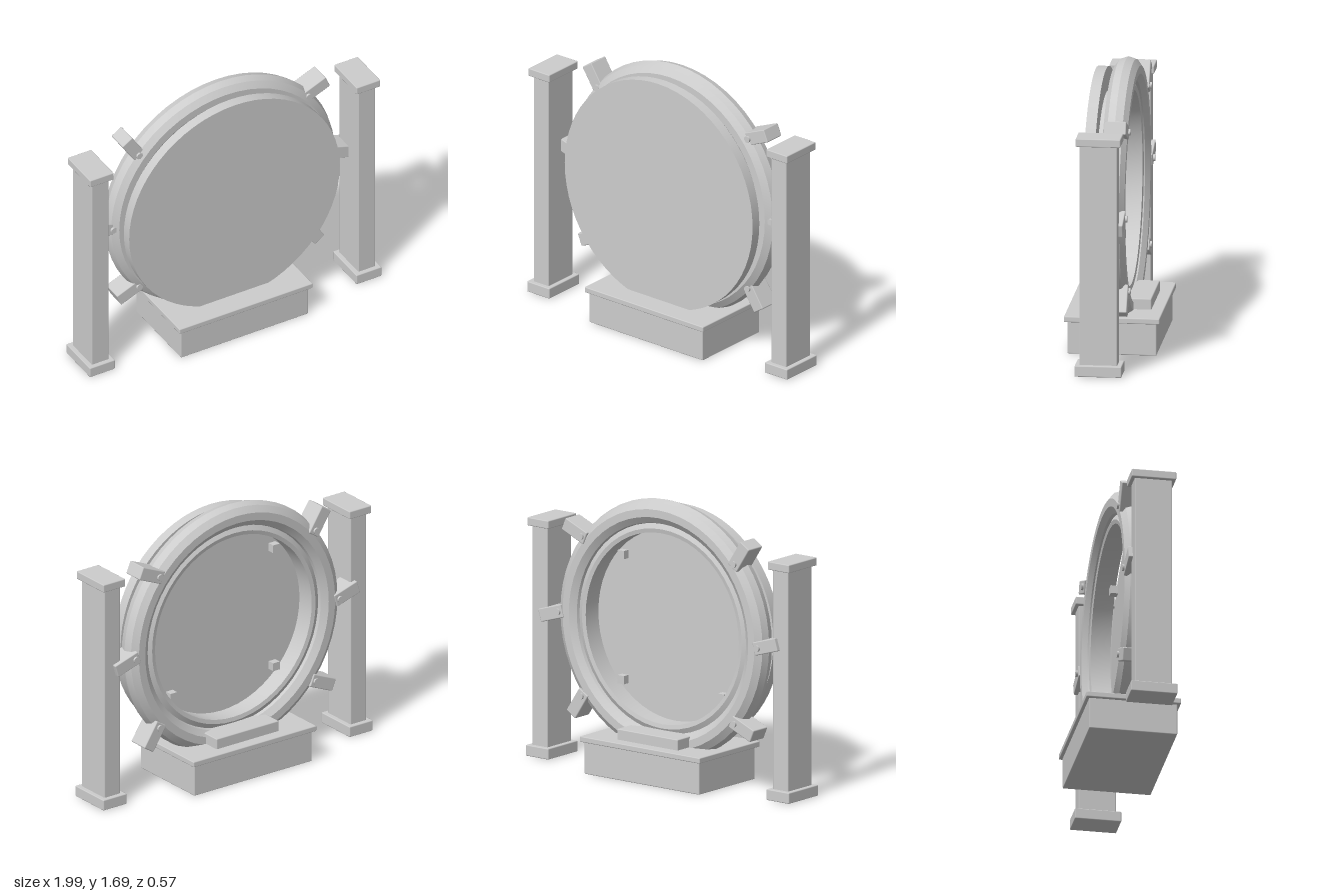
import * as THREE from 'three';
import { toCreasedNormals } from 'three/addons/utils/BufferGeometryUtils.js';
import { RoundedBoxGeometry } from 'three/addons/geometries/RoundedBoxGeometry.js';

const CENTRE_Y = 0.91; // height of the ring's axis

export function createModel() {
  const model = new THREE.Group();
  model.name = 'ringGateway';
  const stone = new THREE.MeshStandardMaterial({ color: 0xcccccc });
  stone.name = 'pale grey';

  const add = (parent, name, geometry, x = 0, y = 0, z = 0) => {
    const mesh = new THREE.Mesh(geometry, stone);
    mesh.name = name;
    mesh.position.set(x, y, z);
    parent.add(mesh);
    return mesh;
  };

  // Box given by its limits on each axis, with slightly eased edges
  const block = (parent, name, [x0, x1], [y0, y1], [z0, z1]) =>
    add(parent, name, new RoundedBoxGeometry(x1 - x0, y1 - y0, z1 - z0, 1, 0.006),
      (x0 + x1) / 2, (y0 + y1) / 2, (z0 + z1) / 2);

  // Cylinder along z between two depths
  const disc = (parent, name, radius, z0, z1, sides, x = 0, y = 0) => {
    const g = new THREE.CylinderGeometry(radius, radius, z1 - z0, sides).rotateX(Math.PI / 2);
    return add(parent, name, g, x, y, (z0 + z1) / 2);
  };

  // Stepped pedestal
  const base = new THREE.Group();
  base.name = 'pedestal';
  model.add(base);
  block(base, 'pedestalBody', [-0.435, 0.435], [0, 0.2], [-0.265, 0.265]);
  block(base, 'pedestalLid', [-0.455, 0.455], [0.195, 0.23], [-0.285, 0.285]);
  block(base, 'rearStep', [-0.23, 0.23], [0.22, 0.295], [-0.212, 0]);

  // Side posts with foot and cap
  for (const side of [-1, 1]) {
    const post = new THREE.Group();
    post.name = side > 0 ? 'leftPost' : 'rightPost';
    post.position.x = side * 0.911;
    model.add(post);
    block(post, 'postFoot', [-0.086, 0.086], [0, 0.067], [-0.118, 0.162]);
    block(post, 'postShaft', [-0.058, 0.058], [0.06, 1.41], [-0.09, 0.135]);
    block(post, 'postCap', [-0.081, 0.081], [1.4, 1.45], [-0.112, 0.156]);
  }

  // Main ring: ten-sided tube, smooth around the circle
  const ring = new THREE.Group();
  ring.name = 'ringAssembly';
  ring.position.y = CENTRE_Y;
  model.add(ring);
  add(ring, 'outerRing',
    toCreasedNormals(new THREE.TorusGeometry(0.703, 0.077, 10, 56), 0.4), 0, 0, -0.033);

  // Inner collar, turned around the ring's axis
  const collarProfile = [[0.58, -0.07], [0.58, 0.05], [0.645, 0.045], [0.645, -0.055],
    [0.605, -0.075], [0.58, -0.07]].map(([r, z]) => new THREE.Vector2(r, z));
  const collar = new THREE.LatheGeometry(collarProfile.reverse(), 56).rotateX(Math.PI / 2);
  const collarMesh = add(ring, 'innerCollar', toCreasedNormals(collar, 0.4));
  collarMesh.material = stone;
  stone.side = THREE.DoubleSide;

  // Front disc with its backing plate
  disc(ring, 'frontDisc', 0.72, 0.083, 0.146, 64);
  disc(ring, 'backingPlate', 0.577, 0.055, 0.085, 64);

  // Four small lugs on the back of the plate
  for (const x of [-0.38, 0.38])
    for (const y of [-0.38, 0.38])
      add(ring, 'plateLug', new THREE.BoxGeometry(0.05, 0.05, 0.05), x, y, 0.035);

  // Six clamps, each skewed from the radius, with a through pin
  for (const degrees of [-40, 0, 40, 140, 180, 220]) {
    const a = THREE.MathUtils.degToRad(degrees);
    const clamp = new THREE.Group();
    clamp.name = 'clamp';
    clamp.position.set(0.755 * Math.cos(a), 0.755 * Math.sin(a), 0);
    clamp.rotation.z = a - THREE.MathUtils.degToRad(17);
    ring.add(clamp);
    block(clamp, 'clampBlock', [-0.03, 0.147], [-0.04, 0.04], [-0.115, 0.018]);
    disc(clamp, 'clampPin', 0.02, -0.127, 0.031, 12);
  }

  return model;
}
